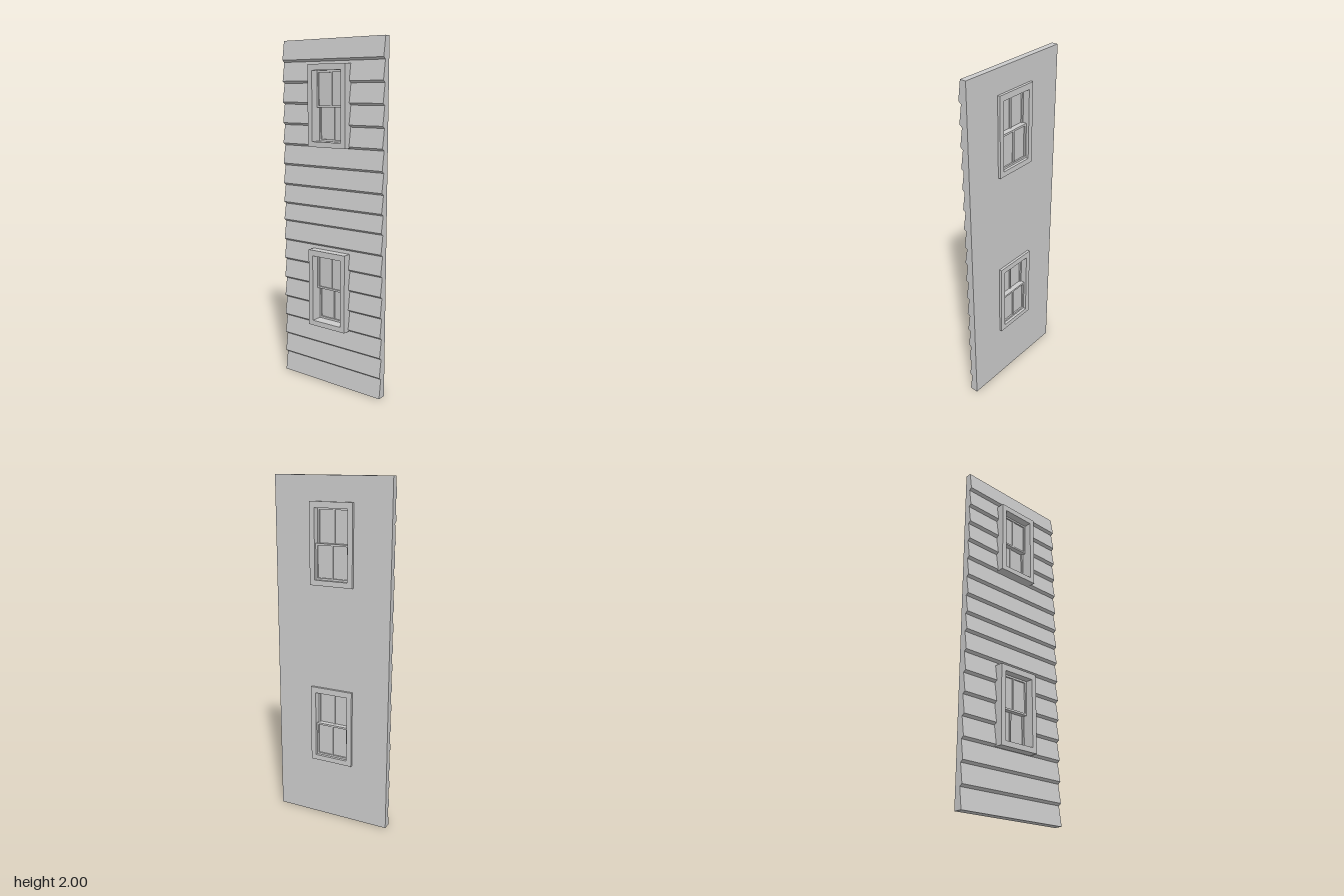
import * as THREE from 'three';

const material = new THREE.MeshStandardMaterial({ color: 0xcccccc, flatShading: true });
const WALL_BACK = -0.038, BOARD_IN = -0.003, BOARD_OUT = 0.013, LIP = 0.006;

// Heights where one clapboard overlaps the next (two stacked panels)
const laps = [];
for (let i = 1; i <= 8; i++) laps.push(i * 0.1192);
laps.push(1.06);
for (let i = 1; i <= 7; i++) laps.push(1.054 + i * 0.1187);

// Sawtooth front profile as [z, y], bottom to top
const profile = [[BOARD_OUT, 0]];
for (const y of laps) profile.push([BOARD_IN, y - LIP], [BOARD_OUT, y + LIP]);
profile.push([BOARD_IN, 2]);

function depthAt(y) {
  for (let i = 1; i < profile.length; i++) {
    const [z0, y0] = profile[i - 1], [z1, y1] = profile[i];
    if (y <= y1) return z0 + (z1 - z0) * (y - y0) / (y1 - y0);
  }
  return BOARD_IN;
}

function addMesh(parent, name, geometry) {
  const mesh = new THREE.Mesh(geometry, material);
  mesh.name = name;
  parent.add(mesh);
}

// Piece of clapboard wall between two x and two y limits
function wallPiece(parent, name, x0, x1, y0, y1) {
  const front = [[depthAt(y0), y0], ...profile.filter(([, y]) => y > y0 && y < y1), [depthAt(y1), y1]];
  const outline = [[WALL_BACK, y0], ...front, [WALL_BACK, y1]];
  const shape = new THREE.Shape(outline.map(([z, y]) => new THREE.Vector2(-z, y)));
  const geometry = new THREE.ExtrudeGeometry(shape, { depth: x1 - x0, bevelEnabled: false });
  geometry.rotateY(Math.PI / 2).translate(x0, 0, 0);
  addMesh(parent, name, geometry);
}

function rect(path, w, y0, y1) {
  return path.moveTo(-w, y0).lineTo(w, y0).lineTo(w, y1).lineTo(-w, y1).closePath();
}

// Rectangular ring, from z0 to z1
function ring(parent, name, outer, inner, z0, z1) {
  const shape = rect(new THREE.Shape(), ...outer);
  shape.holes.push(rect(new THREE.Path(), ...inner));
  const geometry = new THREE.ExtrudeGeometry(shape, { depth: z1 - z0, bevelEnabled: false });
  addMesh(parent, name, geometry.translate(0, 0, z0));
}

function slab(parent, name, w, y0, y1, z0, z1) {
  const geometry = new THREE.BoxGeometry(2 * w, y1 - y0, z1 - z0);
  addMesh(parent, name, geometry.translate(0, (y0 + y1) / 2, (z0 + z1) / 2));
}

// One sash: border, upright glazing bar and pane
function sash(parent, name, y0, y1, z0, z1) {
  const group = new THREE.Group();
  group.name = name;
  const mid = (z0 + z1) / 2;
  ring(group, 'sashBorder', [0.1, y0, y1], [0.09, y0 + 0.011, y1 - 0.011], z0, z1);
  slab(group, 'glazingBar', 0.005, y0 + 0.01, y1 - 0.01, mid - 0.008, mid + 0.008);
  slab(group, 'pane', 0.091, y0 + 0.01, y1 - 0.01, mid - 0.002, mid + 0.002);
  parent.add(group);
}

// Double-hung window, lower sash set behind the upper one
function makeWindow(name, y) {
  const group = new THREE.Group();
  group.name = name;
  ring(group, 'windowFrame', [0.13, 0, 0.456], [0.1, 0.03, 0.422], -0.053, 0.051);
  sash(group, 'upperSash', 0.22, 0.422, -0.015, 0.006);
  sash(group, 'lowerSash', 0.03, 0.231, -0.037, -0.015);
  group.position.y = y;
  return group;
}

export function createModel() {
  const model = new THREE.Group();
  model.name = 'clapboardWall';

  // Full-height sides, then the pieces below, between and above the windows
  wallPiece(model, 'rightWall', -0.35, -0.12, 0, 2);
  wallPiece(model, 'leftWall', 0.12, 0.35, 0, 2);
  wallPiece(model, 'lowerWall', -0.12, 0.12, 0, 0.363);
  wallPiece(model, 'middleWall', -0.12, 0.12, 0.798, 1.418);
  wallPiece(model, 'upperWall', -0.12, 0.12, 1.852, 2);

  model.add(makeWindow('lowerWindow', 0.353), makeWindow('upperWindow', 1.407));
  return model;
}
